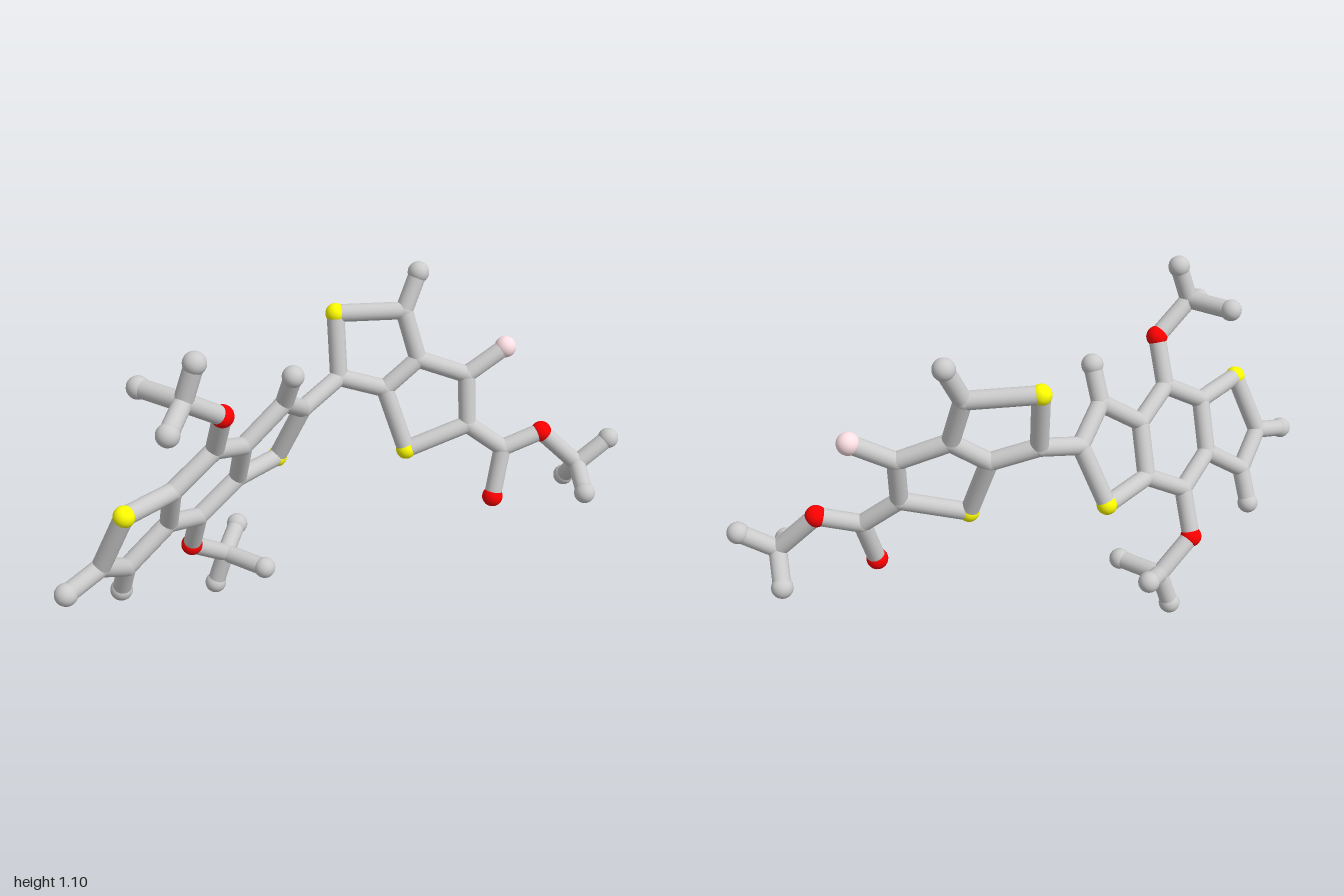
import * as THREE from 'three';

const STICK = 0.029;
const KINDS = {
  joint: { color: 0xcccccc, radius: 0.03 },
  greyBall: { color: 0xcccccc, radius: 0.035 },
  yellowBall: { color: 0xffff00, radius: 0.033 },
  redBall: { color: 0xff0000, radius: 0.035 },
  pinkBall: { color: 0xffe1e6, radius: 0.036 },
};

// Depth of the two flat ring systems
const corePlane = (x, y) => -0.389 * (x + 0.45) + 0.479 * (y - 0.55) - 0.0175;
const sidePlane = (x, y) => 0.348 * x - 0.266 * y - 0.002;

// One half of the fused three-ring core: [kind, x, y, z (or in the ring plane)]
const CORE_HALF = {
  s: ['yellowBall', -0.783, 0.628],
  tip: ['joint', -0.845, 0.435],
  low: ['joint', -0.735, 0.35],
  lowEnd: ['greyBall', -0.74, 0.238],
  inner: ['joint', -0.585, 0.457],
  outer: ['joint', -0.6, 0.615],
  top: ['joint', -0.45, 0.707],
  o: ['redBall', -0.452, 0.854],
  hub: ['joint', -0.585, 0.948, 0.16],
  armA: ['greyBall', -0.55, 1.065, 0.175],
  armB: ['greyBall', -0.67, 0.903, 0.24],
  armC: ['greyBall', -0.66, 0.952, 0.02],
};
// Each chain is a run of sticks from key to key
const CORE_CHAINS = [
  ['s', 'tip', 'low', 'inner', 'outer', 's'],
  ['low', 'lowEnd'],
  ['outer', 'top', 'o', 'hub', 'armA'],
  ['armB', 'hub', 'armC'],
];

// Two-ring side group with its branched tail
const SIDE = {
  link: ['joint', 0.104, 0.72],
  s1: ['yellowBall', 0.12, 0.925],
  c1: ['joint', 0.334, 0.917],
  c1End: ['greyBall', 0.393, 1.035],
  fuseA: ['joint', 0.36, 0.757],
  fuseB: ['joint', 0.243, 0.671],
  c2: ['joint', 0.51, 0.693],
  pink: ['pinkBall', 0.645, 0.773],
  c3: ['joint', 0.495, 0.527],
  s2: ['yellowBall', 0.287, 0.463],
  fork: ['joint', 0.602, 0.436],
  o1: ['redBall', 0.553, 0.272],
  o2: ['redBall', 0.736, 0.479],
  hub: ['joint', 0.853, 0.352, 0.19],
  armA: ['greyBall', 0.965, 0.43, 0.212],
  armB: ['greyBall', 0.87, 0.26, 0.108],
  armC: ['greyBall', 0.8, 0.307, 0.304],
};
const SIDE_CHAINS = [
  ['link', 's1', 'c1', 'fuseA', 'fuseB', 'link'],
  ['c1', 'c1End'],
  ['fuseA', 'c2', 'c3', 's2', 'fuseB'],
  ['c2', 'pink'],
  ['c3', 'fork', 'o2', 'hub', 'armA'],
  ['fork', 'o1'],
  ['armB', 'hub', 'armC'],
];

export function createModel() {
  const model = new THREE.Group();
  model.name = 'stickModel';
  const up = new THREE.Vector3(0, 1, 0);

  const materials = {};
  const balls = {};
  for (const [kind, { color, radius }] of Object.entries(KINDS)) {
    materials[kind] = new THREE.MeshStandardMaterial({ color });
    balls[kind] = new THREE.SphereGeometry(radius, 24, 16);
  }
  const stickGeometry = new THREE.CylinderGeometry(STICK, STICK, 1, 20, 1, true);

  function addBall(parent, kind, position) {
    const ball = new THREE.Mesh(balls[kind], materials[kind]);
    ball.name = kind;
    ball.position.copy(position);
    parent.add(ball);
  }

  function addStick(parent, a, b) {
    const dir = b.clone().sub(a);
    const stick = new THREE.Mesh(stickGeometry, materials.joint);
    stick.name = 'stick';
    stick.position.copy(a).lerp(b, 0.5);
    stick.scale.y = dir.length();
    stick.quaternion.setFromUnitVectors(up, dir.normalize());
    parent.add(stick);
  }

  // Builds balls and sticks, and returns the positions by key
  function addPart(name, nodes, chains, plane, place = (p) => p) {
    const part = new THREE.Group();
    part.name = name;
    const at = {};
    for (const [key, [kind, x, y, z = plane(x, y)]] of Object.entries(nodes)) {
      at[key] = place(new THREE.Vector3(x, y, z));
      addBall(part, kind, at[key]);
    }
    for (const chain of chains) {
      for (let i = 1; i < chain.length; i++) addStick(part, at[chain[i - 1]], at[chain[i]]);
    }
    model.add(part);
    return at;
  }

  // The core's second half is the first reflected through its centre
  const centre = new THREE.Vector3(-0.45, 0.55, -0.0175);
  const reflect = (p) => centre.clone().multiplyScalar(2).sub(p);
  const first = addPart('coreOuterHalf', CORE_HALF, CORE_CHAINS, corePlane);
  const second = addPart('coreInnerHalf', CORE_HALF, CORE_CHAINS, corePlane, reflect);
  const side = addPart('sideRings', SIDE, SIDE_CHAINS, sidePlane);

  // Sticks joining the parts, and the free end of the core
  const links = new THREE.Group();
  links.name = 'connectors';
  addStick(links, first.top, second.inner);
  addStick(links, second.top, first.inner);
  addStick(links, second.tip, side.link);
  const end = new THREE.Vector3(-0.966, 0.4, corePlane(-0.966, 0.4));
  addStick(links, first.tip, end);
  addBall(links, 'greyBall', end);
  model.add(links);

  return model;
}
